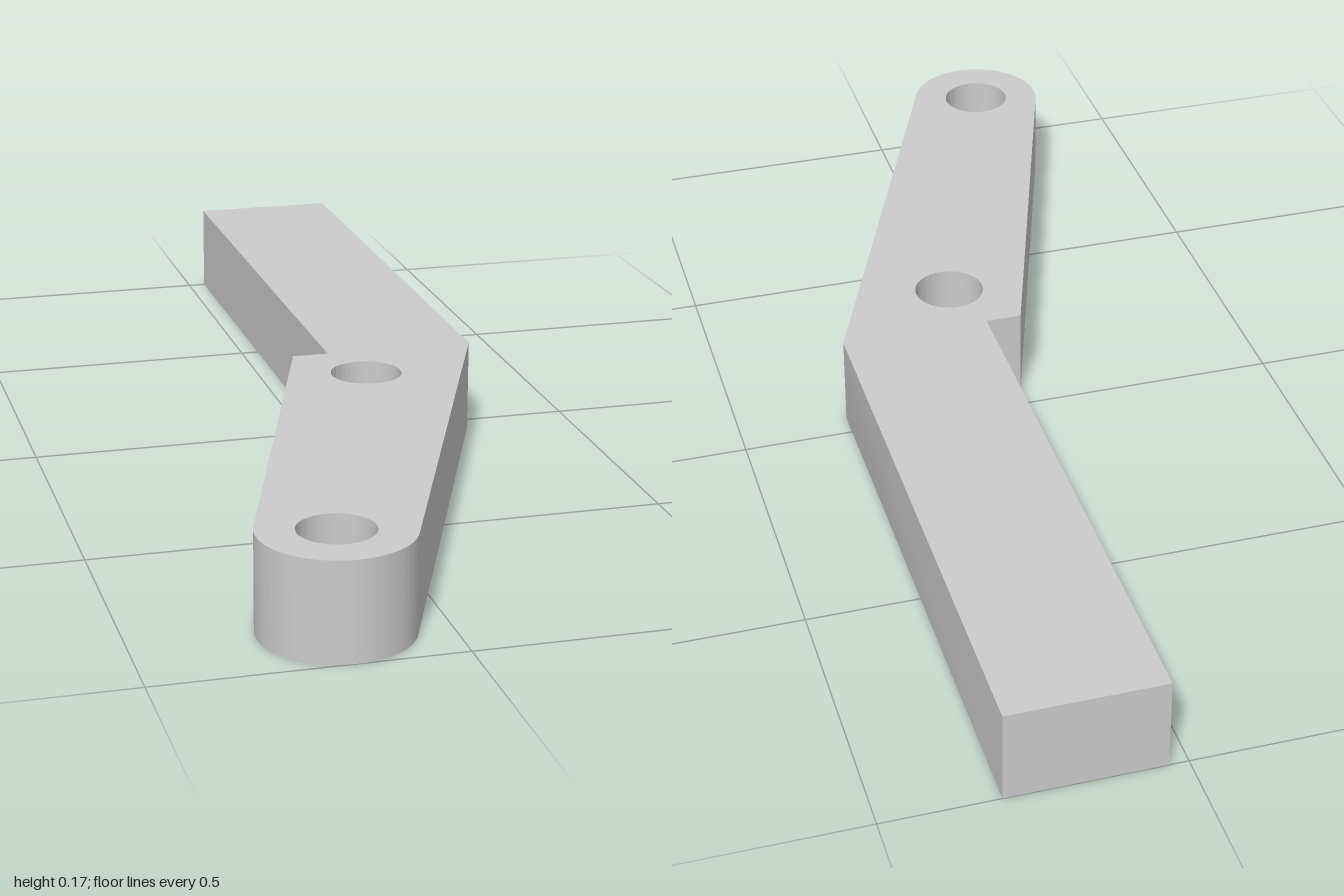
import * as THREE from 'three';
import { toCreasedNormals } from 'three/addons/utils/BufferGeometryUtils.js';

const HEIGHT = 0.167;
const HOLE_RADIUS = 0.063;
const END_RADIUS = 0.126;

// Angle on the rounded end where a line from (x, y) touches it; side is +1 or -1
function tangentAngle(center, x, y, side) {
  const dx = x - center.x, dy = y - center.y;
  return Math.atan2(dy, dx) + side * Math.acos(END_RADIUS / Math.hypot(dx, dy));
}

export function createModel() {
  const group = new THREE.Group();
  group.name = 'bentLever';

  // Plan outline, drawn with shape y = -z
  const end = new THREE.Vector2(-0.177, -0.874);
  const bend = [0.302, -0.045];
  const step = [-0.032, -0.043];
  const outline = new THREE.Shape();
  outline.moveTo(0.033, 1);
  outline.lineTo(0.302, 1);
  outline.lineTo(...bend);
  outline.absarc(end.x, end.y, END_RADIUS,
    tangentAngle(end, ...bend, -1), tangentAngle(end, ...step, 1), true);
  outline.lineTo(...step);
  outline.lineTo(0.033, -0.043);
  outline.closePath();

  // Pivot hole near the bend and pin hole in the rounded end, wound against the outline
  for (const [x, y] of [[0.071, -0.166], [end.x, end.y]]) {
    const hole = new THREE.Path();
    hole.absarc(x, y, HOLE_RADIUS, 0, Math.PI * 2, false);
    outline.holes.push(hole);
  }

  // Lay the plate flat; round walls and the shallow bend shade smoothly, corners stay sharp
  const plate = new THREE.ExtrudeGeometry(outline, { depth: HEIGHT, bevelEnabled: false, curveSegments: 40 });
  plate.rotateX(-Math.PI / 2);
  const lever = new THREE.Mesh(toCreasedNormals(plate, 0.5), new THREE.MeshStandardMaterial({ color: 0xcccccc }));
  lever.name = 'leverArm';
  group.add(lever);
  return group;
}
